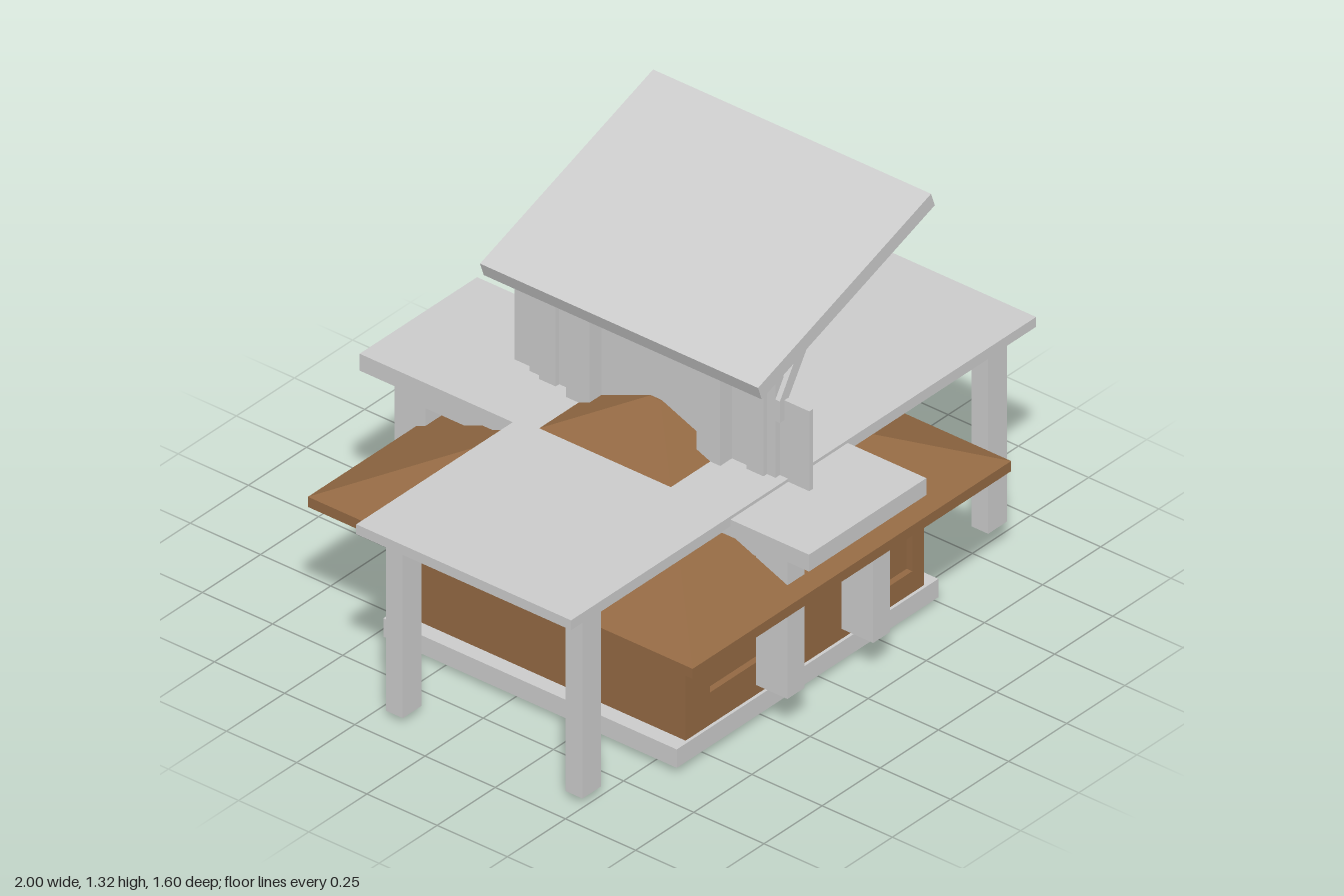
import * as THREE from 'three';

const grey = new THREE.MeshStandardMaterial({ color: 0xcccccc, flatShading: true });
const brown = new THREE.MeshStandardMaterial({ color: 0x936943, flatShading: true });

function add(parent, name, geometry, material = grey) {
  const mesh = new THREE.Mesh(geometry, material);
  mesh.name = name;
  parent.add(mesh);
  return mesh;
}

// Box given by its limits on each axis
function box(parent, name, [x0, x1], [y0, y1], [z0, z1], material = grey) {
  const mesh = add(parent, name, new THREE.BoxGeometry(x1 - x0, y1 - y0, z1 - z0), material);
  mesh.position.set((x0 + x1) / 2, (y0 + y1) / 2, (z0 + z1) / 2);
  return mesh;
}

// Rectangular plate with rectangular openings, each as [x0, x1, y0, y1]
function plate([x0, x1, y0, y1], holes, depth) {
  const rect = (C, a, b, c, d) => new C([[a, c], [b, c], [b, d], [a, d]].map(p => new THREE.Vector2(...p)));
  const shape = rect(THREE.Shape, x0, x1, y0, y1);
  shape.holes = holes.map(h => rect(THREE.Path, ...h));
  return new THREE.ExtrudeGeometry(shape, { depth, bevelEnabled: false });
}

function house(root) {
  const g = new THREE.Group();
  g.name = 'house';
  root.add(g);
  const t = 0.02;
  box(g, 'foundation', [-0.63, 0.495], [0.02, 0.08], [-0.455, 0.59]);
  box(g, 'wallCore', [-0.58, 0.445 - t], [0.08, 0.44], [-0.44 + t, 0.58 - t], brown);
  // Wall skins with recessed windows and door
  const windows = [[-0.475, -0.17, 0.185, 0.33], [0.15, 0.395, 0.15, 0.33]];
  const span = [-0.58, 0.445, 0.08, 0.44];
  add(g, 'frontWall', plate(span, windows, t), brown).position.z = 0.58 - t;
  const backWindows = [[-0.5, -0.19, 0.15, 0.33], [0.11, 0.37, 0.15, 0.33]];
  add(g, 'backWall', plate(span, backWindows, t), brown).position.z = -0.44;
  // Plate x runs along -z on the side wall
  const side = plate([-0.58 + t, 0.44 - t, 0.08, 0.44],
    [[-0.53, -0.27, 0.15, 0.33], [-0.175, 0.035, 0.085, 0.33], [0.135, 0.39, 0.15, 0.33]], t);
  side.rotateY(Math.PI / 2);
  add(g, 'sideWall', side, brown).position.x = 0.445 - t;
  // Hipped roof
  box(g, 'eaves', [-0.755, 0.615], [0.437, 0.47], [-0.62, 0.75], brown);
  const hip = new THREE.CylinderGeometry(0.02 * Math.SQRT2, 0.685 * Math.SQRT2, 0.273, 4);
  hip.rotateY(Math.PI / 4);
  add(g, 'hippedRoof', hip, brown).position.set(-0.07, 0.6065, 0.065);
}

// Flat canopy: slab, a frame of beams beneath and four corner posts
function canopy(root, name, slab, frame, postSize, postY, beamY) {
  const g = new THREE.Group();
  g.name = name;
  root.add(g);
  box(g, 'slab', ...slab);
  const [x0, x1, z0, z1] = frame;
  const [w, d] = postSize;
  for (const x of [[x0, x0 + w], [x1 - w, x1]]) {
    box(g, 'sideBeam', x, beamY, [z0, z1]);
    for (const z of [[z0, z0 + d], [z1 - d, z1]]) box(g, 'post', x, postY, z);
  }
  for (const z of [[z0, z0 + d], [z1 - d, z1]]) box(g, 'crossBeam', [x0 + w, x1 - w], beamY, z);
}

function tower(root) {
  const g = new THREE.Group();
  g.name = 'upperWall';
  root.add(g);
  box(g, 'thinWall', [-0.066, -0.05], [0.41, 0.905], [-0.455, 0.595]);
  box(g, 'upperPanel', [-0.085, -0.05], [0.62, 1.06], [-0.385, 0.49]);
  for (const s of [-1, 1]) {
    const mid = z => 0.06 + s * z;
    const range = (a, b) => [Math.min(mid(a), mid(b)), Math.max(mid(a), mid(b))];
    box(g, 'mainPost', [-0.135, -0.085], [0, 1.085], range(0.19, 0.275));
    box(g, 'smallPost', [-0.1, -0.07], [0.012, 1.06], range(0.34, 0.4));
  }
  // Sloping struts at both ends
  const strut = new THREE.Shape([[-0.085, 0.84], [-0.05, 0.84], [-0.05, 0.9], [0.095, 1.125], [0.04, 1.11], [-0.085, 0.91]]
    .map(p => new THREE.Vector2(...p)));
  const strutGeometry = new THREE.ExtrudeGeometry(strut, { depth: 0.016, bevelEnabled: false });
  for (const z of [-0.401, 0.49]) add(g, 'strut', strutGeometry).position.z = z;
}

function tiltedRoof(root) {
  const g = new THREE.Group();
  g.name = 'tiltedRoof';
  g.position.set(0.136, 1.165, 0);
  g.rotation.z = 0.342;
  root.add(g);
  box(g, 'roofSlab', [-0.395, 0.395], [0, 0.024], [-0.43, 0.56]);
  // Underside with two recessed panels
  const under = plate([-0.395, 0.395, -0.43, 0.56],
    [[-0.315, 0.318, 0.11, 0.47], [-0.315, 0.318, -0.345, 0.02]], 0.024);
  under.rotateX(Math.PI / 2);
  add(g, 'roofUnderside', under);
}

export function createModel() {
  const root = new THREE.Group();
  root.name = 'pavilionHouse';
  house(root);
  canopy(root, 'wideCanopy', [[-1, 1], [0.623, 0.655], [-0.245, 0.52]],
    [-0.915, 0.91, -0.21, 0.49], [0.08, 0.06], [0.02, 0.624], [0.59, 0.624]);
  canopy(root, 'longCanopy', [[-0.315, 0.19], [0.59, 0.645], [-0.8, 0.8]],
    [-0.287, 0.155, -0.7, 0.7], [0.073, 0.112], [0.12, 0.591], [0.54, 0.591]);
  tower(root);
  tiltedRoof(root);
  return root;
}
